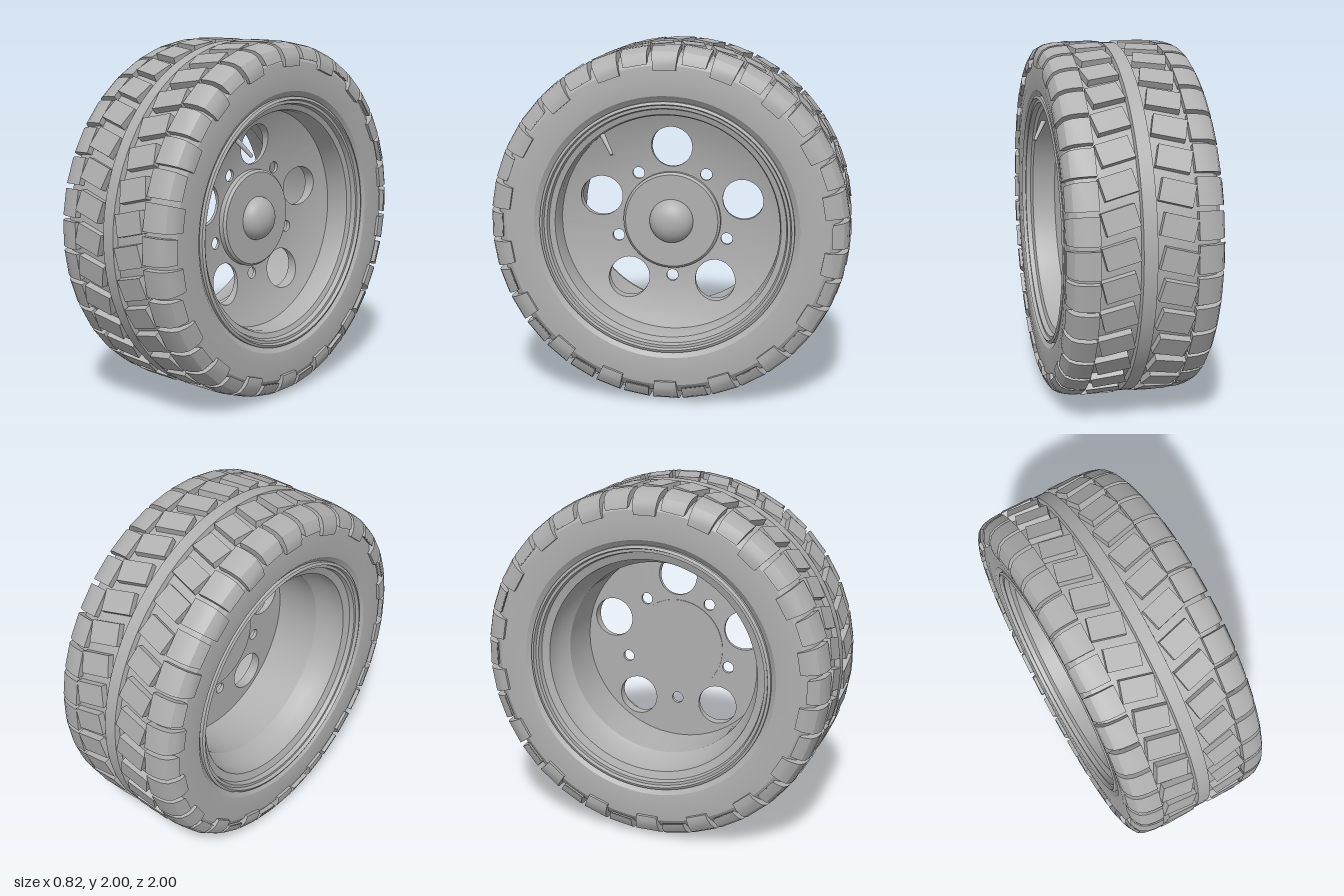
import * as THREE from 'three';
import { mergeGeometries, toCreasedNormals } from 'three/addons/utils/BufferGeometryUtils.js';

const grey = new THREE.MeshStandardMaterial({ color: 0xb0b0b0 });
grey.name = 'plain grey';

function mesh(name, geometry) {
  const m = new THREE.Mesh(geometry, grey);
  m.name = name;
  return m;
}

// Solid of revolution about the x axis from [radius, x] points
function turned(points, segments = 96) {
  const g = new THREE.LatheGeometry(points.map(([r, x]) => new THREE.Vector2(r, x)), segments);
  g.rotateZ(-Math.PI / 2);
  return toCreasedNormals(g, 0.5);
}

// One wedge of the dished wheel disc, pierced by a round hole
const R0 = 0.24, R1 = 0.617, HALF = Math.PI / 10, BACK = 0.105;
const dish = (r) => 0.12 + 0.08 * Math.pow(Math.max(0, r - R0) / (R1 - R0), 2);

function discWedge(holeAt, holeRadius) {
  const N = 10, STEPS = 6, rim = [];
  const polar = (r, a) => [r * Math.cos(a), r * Math.sin(a)];
  for (let side = 0; side < 4; side++) {
    for (let i = 0; i < N; i++) {
      const t = i / N, dr = R1 - R0, a = HALF * (2 * t - 1);
      rim.push([polar(R0 + dr * t, -HALF), polar(R1, a),
        polar(R1 - dr * t, HALF), polar(R0, -a)][side]);
    }
  }
  const hole = rim.map(([y, z]) => {
    const l = Math.hypot(y - holeAt, z);
    return [holeAt + (y - holeAt) / l * holeRadius, z / l * holeRadius];
  });
  const pos = [], index = [], count = rim.length;
  // rows run across the back into the hole, then out over the front
  for (let k = 0; k <= STEPS + 1; k++) {
    const t = k === 0 ? 1 : Math.max(0, (k - 1) / STEPS);
    const rows = k === 0 ? [[1, true], [0, true]] : [[t, false]];
    for (const [s, back] of rows) {
      rim.forEach(([y, z], i) => {
        const py = THREE.MathUtils.lerp(hole[i][0], y, s);
        const pz = THREE.MathUtils.lerp(hole[i][1], z, s);
        pos.push(back ? BACK : dish(Math.hypot(py, pz)), py, pz);
      });
    }
  }
  for (let k = 0; k < pos.length / 3 / count - 1; k++) {
    for (let i = 0; i < count; i++) {
      const j = (i + 1) % count;
      const a = k * count + i, b = a + count, c = (k + 1) * count + j, d = k * count + j;
      index.push(a, b, c, a, c, d);
    }
  }
  const g = new THREE.BufferGeometry();
  g.setAttribute('position', new THREE.Float32BufferAttribute(pos, 3));
  g.setIndex(index);
  return g;
}

function wheelDisc() {
  const parts = [];
  for (let i = 0; i < 10; i++) {
    const g = i % 2 === 0 ? discWedge(0.42, 0.115) : discWedge(0.325, 0.033);
    parts.push(g.rotateX(i * HALF * 2));
  }
  return toCreasedNormals(mergeGeometries(parts), 0.5);
}

// Shoulder tread block that wraps down on to the sidewall
function shoulderBlock(foot) {
  const shape = new THREE.Shape([
    [0.25, 0.93], [0.25, 0.991], [0.3, 0.989], [0.345, 0.98], [0.378, 0.962], [0.398, 0.93],
    [0.408, 0.9], [0.408, foot], [0.385, foot], [0.36, 0.92], [0.3, 0.94],
  ].map(([x, y]) => new THREE.Vector2(x, y)));
  const g = new THREE.ExtrudeGeometry(shape, { depth: 0.148, bevelEnabled: false });
  g.translate(0, 0, -0.074);
  const p = g.attributes.position;
  for (let i = 0; i < p.count; i++) {
    p.setZ(i, p.getZ(i) * (1 - 1.5 * (0.99 - p.getY(i))));
  }
  return toCreasedNormals(g, 0.5);
}

function treadRow(name, geometries, phase) {
  const row = new THREE.Group(), COUNT = 36;
  row.name = name;
  for (let i = 0; i < COUNT; i++) {
    const block = mesh('treadBlock', geometries[i % geometries.length]);
    block.rotation.x = (i + phase) / COUNT * Math.PI * 2;
    row.add(block);
  }
  return row;
}

export function createModel() {
  const wheel = new THREE.Group();
  wheel.name = 'wheel';

  // Tyre body with a raised centre rib
  const half = [[0.99, 0.036], [0.962, 0.042], [0.962, 0.2], [0.955, 0.3], [0.935, 0.355],
    [0.89, 0.388], [0.8, 0.397], [0.73, 0.39], [0.712, 0.375], [0.69, 0.36]];
  const tyre = [...half.map(([r, x]) => [r, -x]).reverse(), ...half];
  tyre.push(tyre[0]);
  wheel.add(mesh('tyre', turned(tyre, 128)));

  // Tread rows, slanted inwards like a V
  const blocks = [shoulderBlock(0.865), shoulderBlock(0.905)];
  for (const side of [1, -1]) {
    const label = side > 0 ? 'left' : 'right';
    const inner = new THREE.BoxGeometry(0.178, 0.045, 0.118);
    inner.rotateY(side * 0.26).translate(side * 0.148, 0.974, 0);
    wheel.add(treadRow(label + 'InnerTread', [inner], side > 0 ? 0.3 : 0));
    const outer = side > 0 ? blocks : blocks.map((b) => b.clone().rotateY(Math.PI));
    wheel.add(treadRow(label + 'ShoulderTread', outer, 0));
  }

  // Rim barrel with stepped lips
  wheel.add(mesh('rim', turned([
    [0.7, -0.385], [0.7, 0.385], [0.685, 0.392], [0.678, 0.372], [0.662, 0.372], [0.655, 0.345],
    [0.625, 0.335], [0.617, 0.31], [0.617, 0.2], [0.56, 0.105], [0.56, -0.17], [0.6, -0.23],
    [0.612, -0.33], [0.655, -0.345], [0.662, -0.372], [0.678, -0.372], [0.685, -0.392], [0.7, -0.385],
  ])));

  // Disc, hub plate and domed cap
  wheel.add(mesh('wheelDisc', wheelDisc()));
  wheel.add(mesh('hubPlate', turned([
    [0, 0.1], [0.275, 0.1], [0.275, 0.15], [0.262, 0.163], [0, 0.163],
  ])));
  const cap = new THREE.SphereGeometry(0.124, 40, 16, 0, Math.PI * 2, 0, Math.PI / 2);
  cap.scale(1, 0.7, 1).rotateZ(-Math.PI / 2).translate(0.162, 0, 0);
  wheel.add(mesh('hubCap', cap));

  // Valve stem
  const base = new THREE.Vector3(0.3, 0.515, 0.365), tip = new THREE.Vector3(0.37, 0.405, 0.292);
  const dir = tip.clone().sub(base);
  const valve = mesh('valveStem', new THREE.CylinderGeometry(0.009, 0.016, dir.length(), 16));
  valve.position.copy(base).add(tip).multiplyScalar(0.5);
  valve.quaternion.setFromUnitVectors(new THREE.Vector3(0, 1, 0), dir.normalize());
  wheel.add(valve);

  wheel.position.y = 1;
  const model = new THREE.Group();
  model.name = 'wheelModel';
  model.add(wheel);
  return model;
}
